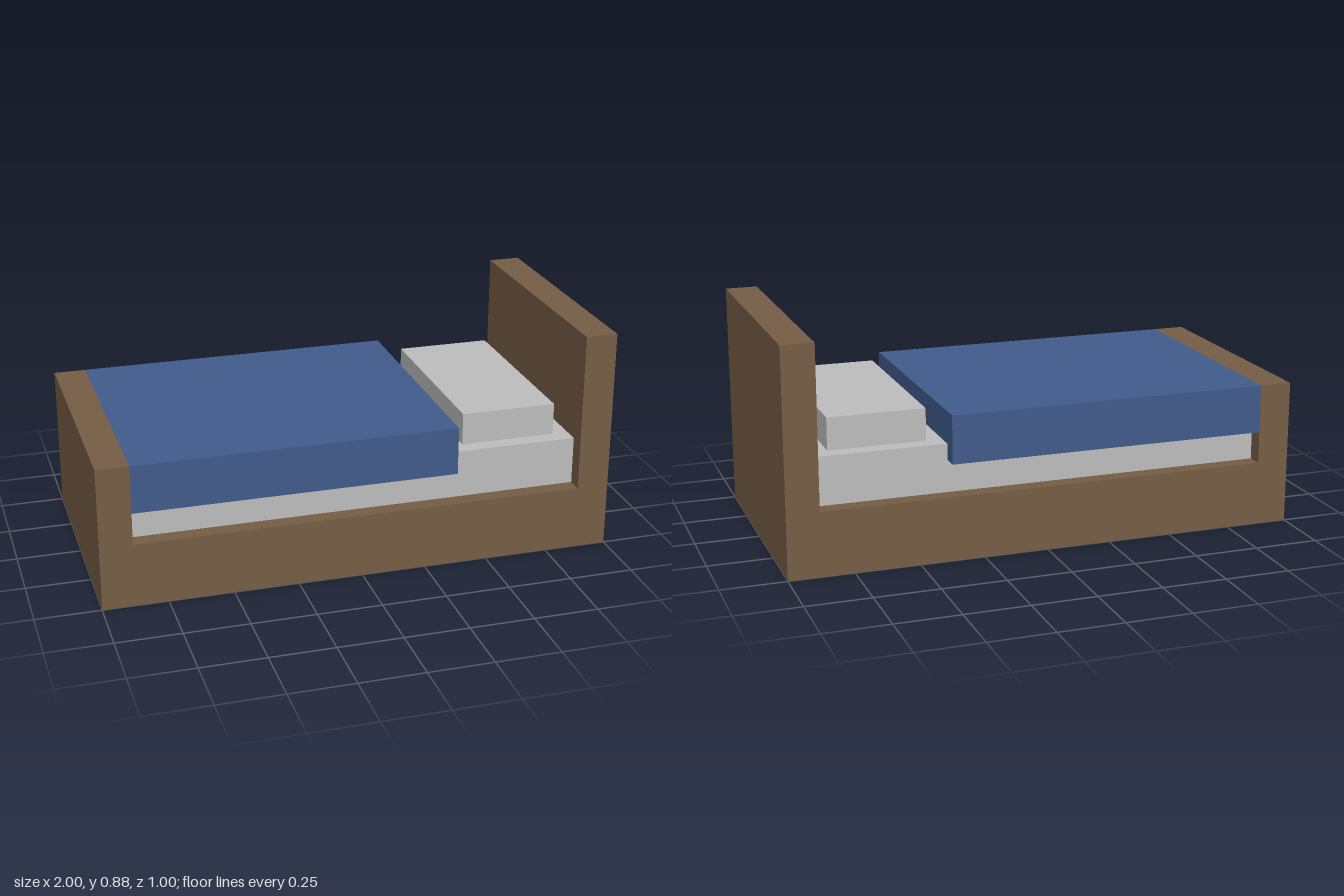
import * as THREE from 'three';

const material = (name, color) => {
  const m = new THREE.MeshStandardMaterial({ color });
  m.name = name;
  return m;
};

// Box given by its lower and upper corners in x and y, centred on z
function block(name, mat, x0, x1, y0, y1, depth) {
  const mesh = new THREE.Mesh(new THREE.BoxGeometry(x1 - x0, y1 - y0, depth), mat);
  mesh.position.set((x0 + x1) / 2, (y0 + y1) / 2, 0);
  mesh.name = name;
  return mesh;
}

export function createModel() {
  const wood = material('brown wood', 0x775e45);
  const linen = material('pale grey linen', 0xbfbfbf);
  const cloth = material('blue cloth', 0x415c8d);
  const bed = new THREE.Group();
  bed.name = 'bed';

  // Frame: base, low footboard and tall headboard as one side profile
  const profile = new THREE.Shape([
    [-1, 0], [1, 0], [1, 0.875], [0.875, 0.875],
    [0.875, 0.25], [-0.875, 0.25], [-0.875, 0.5625], [-1, 0.5625],
  ].map(([x, y]) => new THREE.Vector2(x, y)));
  const frameGeometry = new THREE.ExtrudeGeometry(profile, { depth: 1, bevelEnabled: false });
  frameGeometry.translate(0, 0, -0.5);
  const frame = new THREE.Mesh(frameGeometry, wood);
  frame.name = 'bedFrame';

  // Bedding: the blanket overhangs the mattress on both sides
  bed.add(
    frame,
    block('mattress', linen, -0.875, 0.875, 0.25, 0.4375, 0.875),
    block('pillow', linen, 0.4375, 0.8125, 0.4375, 0.5625, 0.75),
    block('blanket', cloth, -0.875, 0.375, 0.375, 0.5625, 1),
  );
  return bed;
}
